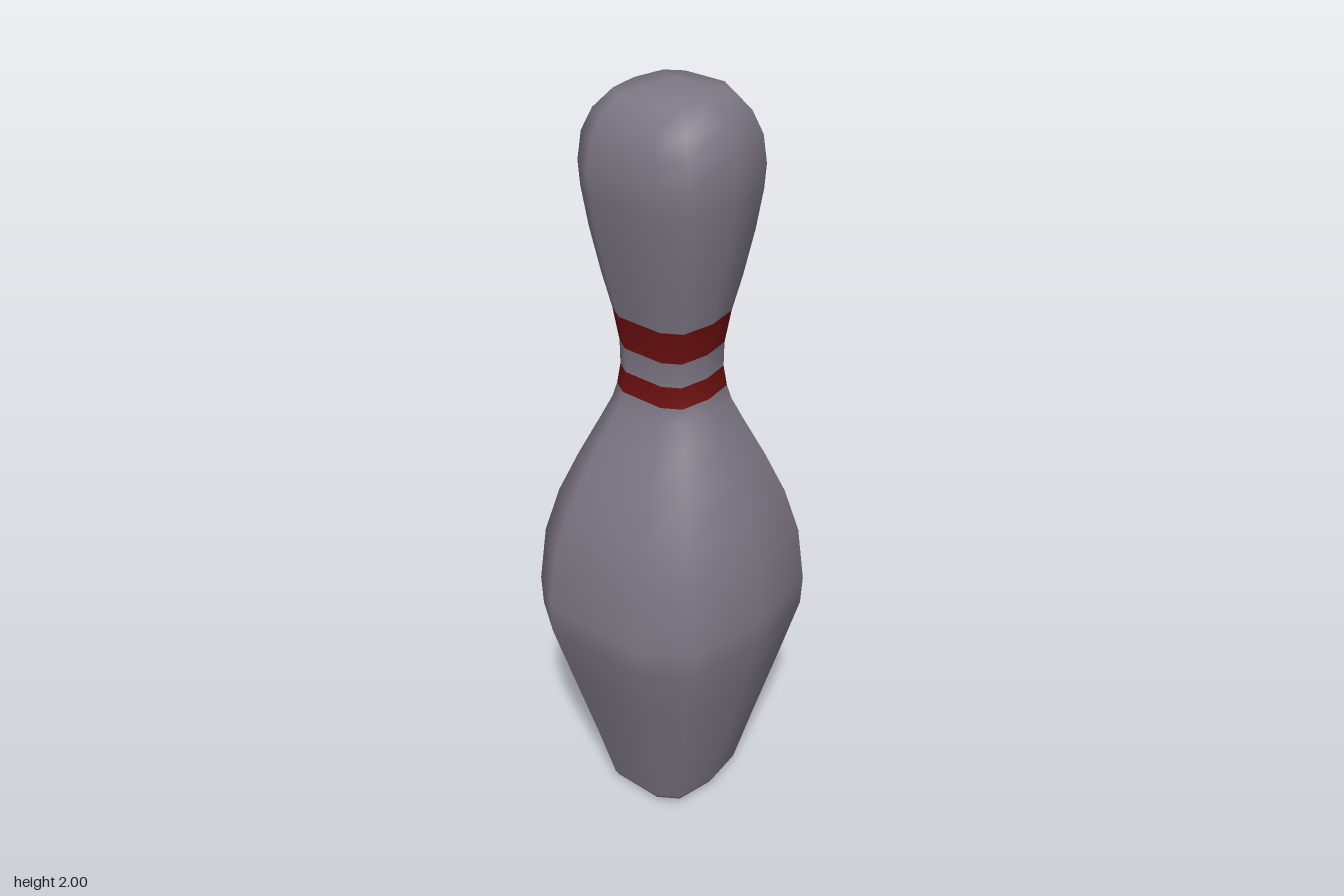
import * as THREE from 'three';

// Height, half width (x), half depth (z) of each ring, from base to crown
const RINGS = [
  [0.008, 0.08, 0.08], [0.025, 0.138, 0.142], [0.04, 0.147, 0.151], [0.2, 0.19, 0.193],
  [0.4, 0.245, 0.25], [0.57, 0.29, 0.298], [0.65, 0.295, 0.3], [0.8, 0.28, 0.284],
  [0.92, 0.248, 0.248], [1.03, 0.203, 0.2], [1.13, 0.157, 0.15], [1.19, 0.13, 0.122],
  [1.227, 0.12, 0.111], [1.28, 0.112, 0.104], [1.344, 0.113, 0.105], [1.43, 0.128, 0.117],
  [1.52, 0.15, 0.137], [1.64, 0.174, 0.16], [1.74, 0.189, 0.174], [1.8, 0.193, 0.178],
  [1.87, 0.186, 0.168], [1.925, 0.16, 0.149], [1.972, 0.115, 0.113],
];
// Ten-sided squarish cross-section, from +x through +z
const SECTION = [
  [1, 0], [0.88, 0.75], [0.51, 1], [-0.51, 1], [-0.88, 0.75],
  [-1, 0], [-0.88, -0.75], [-0.51, -1], [0.51, -1], [0.88, -0.75],
];
const N = SECTION.length;
const LAST = RINGS.length - 1;

export function createModel() {
  const group = new THREE.Group();
  group.name = 'bowlingPin';
  const white = new THREE.MeshStandardMaterial({ name: 'pin grey', color: 0x7d7683 });
  const red = new THREE.MeshStandardMaterial({ name: 'stripe red', color: 0x6c0f0f });

  // All rings, then a pole at the base and one at the crown
  const points = RINGS.flatMap(([y, rx, rz]) => SECTION.flatMap(([x, z]) => [x * rx, y, z * rz]));
  points.push(0, 0, 0, 0, 2, 0);
  const basePole = RINGS.length * N;
  const crownPole = basePole + 1;

  // Faces between two rings, closed with a fan at either end
  function faces(from, to) {
    const index = [];
    for (let j = 0; j < N; j++) {
      const k = (j + 1) % N;
      for (let i = from; i < to; i++) {
        const a = i * N + j, b = i * N + k, c = a + N, d = b + N;
        index.push(a, c, b, b, c, d);
      }
      if (from === 0) index.push(basePole, j, k);
      if (to === LAST) index.push(crownPole, LAST * N + k, LAST * N + j);
    }
    return index;
  }

  // Normals come from the whole surface so the shading runs smoothly across parts
  const whole = new THREE.BufferGeometry();
  whole.setAttribute('position', new THREE.Float32BufferAttribute(points, 3));
  whole.setIndex(faces(0, LAST));
  whole.computeVertexNormals();

  const parts = [
    ['body', 0, 12, white],
    ['lowerStripe', 12, 13, red],
    ['neck', 13, 14, white],
    ['upperStripe', 14, 15, red],
    ['head', 15, LAST, white],
  ];
  for (const [name, from, to, material] of parts) {
    const geometry = new THREE.BufferGeometry();
    geometry.setAttribute('position', whole.attributes.position);
    geometry.setAttribute('normal', whole.attributes.normal);
    geometry.setIndex(faces(from, to));
    const mesh = new THREE.Mesh(geometry, material);
    mesh.name = name;
    group.add(mesh);
  }
  return group;
}
